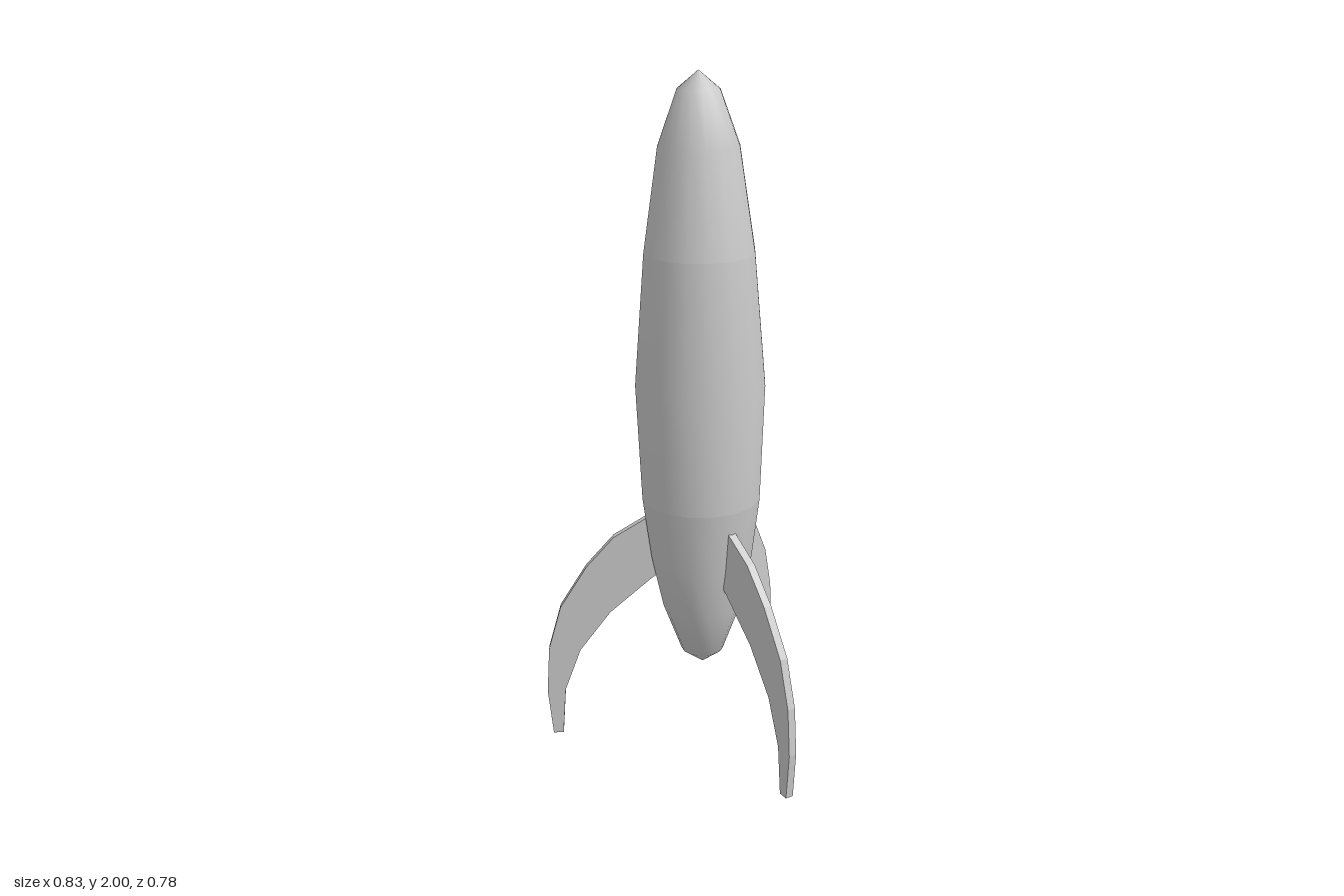
import * as THREE from 'three';

const SIDES = 16;
const FIN_THICKNESS = 0.024;
const rad = THREE.MathUtils.degToRad;

export function createModel() {
  const rocket = new THREE.Group();
  rocket.name = 'rocket';
  rocket.position.set(-0.038, 0, -0.09);
  const material = new THREE.MeshStandardMaterial({ color: 0xcccccc });

  // Hull: three lathed sections, [radius, height] from bottom to top
  const sections = {
    tailCone: [[0, 0.23], [0.063, 0.28], [0.117, 0.43], [0.15, 0.59], [0.174, 0.78]],
    midBody: [[0.174, 0.78], [0.188, 1.13], [0.157, 1.51]],
    noseCone: [[0.157, 1.51], [0.114, 1.8], [0.06, 1.95], [0, 2]],
  };
  for (const [name, profile] of Object.entries(sections)) {
    const points = profile.map(([r, y]) => new THREE.Vector2(r, y));
    const section = new THREE.Mesh(new THREE.LatheGeometry(points, SIDES), material);
    section.name = name;
    section.rotation.y = rad(-8.5);
    rocket.add(section);
  }

  // Fins: curved blade from the hull down to a narrow foot
  const outline = [
    [0.135, 0.72], [0.162, 0.715], [0.26, 0.655], [0.344, 0.56], [0.425, 0.43],
    [0.465, 0.29], [0.475, 0.145], [0.462, 0], // outer edge
    [0.432, 0], [0.42, 0.15], [0.37, 0.285], [0.276, 0.41], [0.15, 0.52], [0.135, 0.53], // inner edge
  ].map(([r, y]) => new THREE.Vector2(r, y));
  const finGeometry = new THREE.ExtrudeGeometry(new THREE.Shape(outline), {
    depth: FIN_THICKNESS,
    bevelEnabled: false,
  });
  finGeometry.translate(0, 0, -FIN_THICKNESS / 2);

  ['frontFin', 'rightFin', 'leftFin'].forEach((name, i) => {
    const fin = new THREE.Mesh(finGeometry, material);
    fin.name = name;
    fin.rotation.y = -rad(98.5 + i * 120);
    rocket.add(fin);
  });

  const model = new THREE.Group();
  model.add(rocket);
  return model;
}
